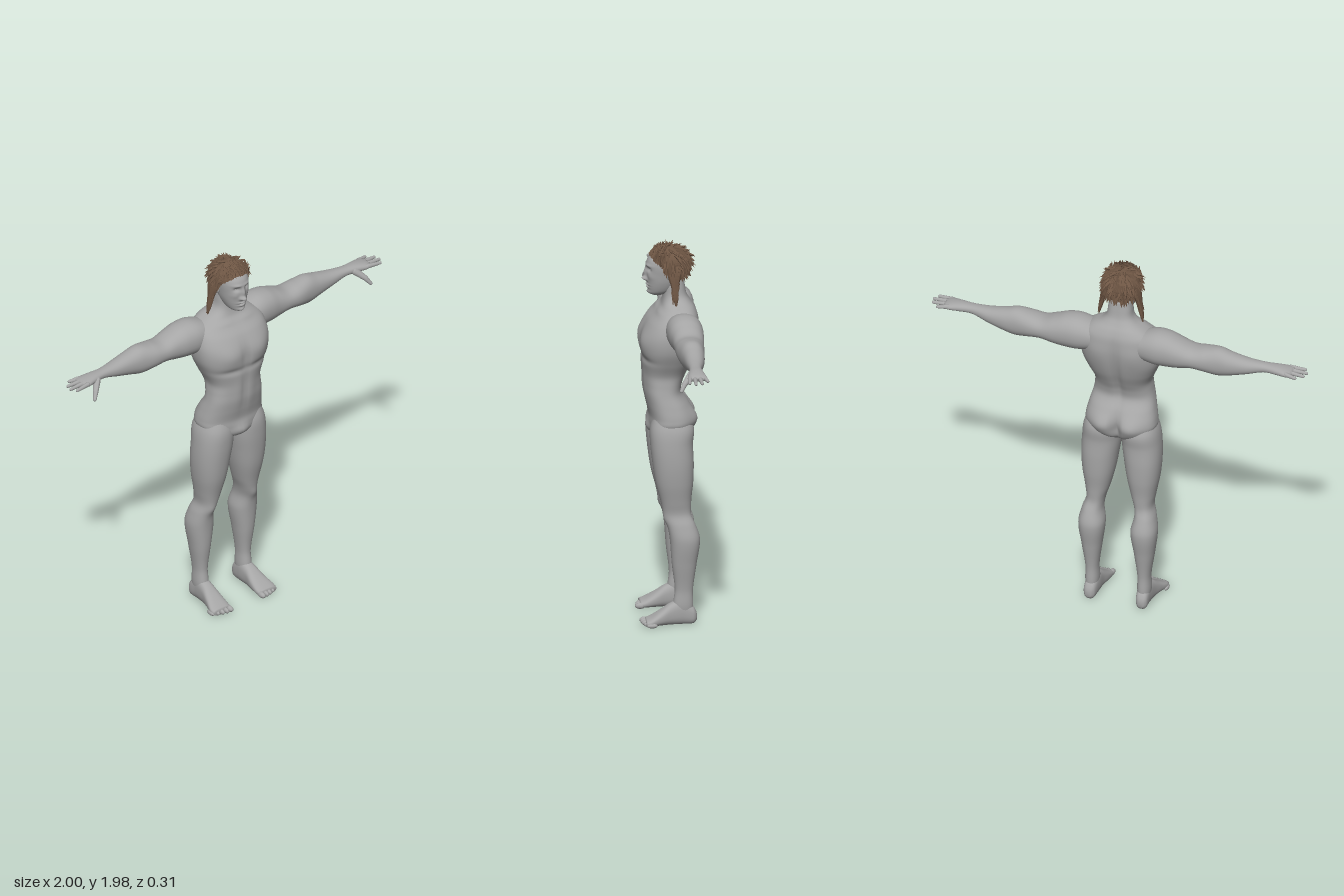
import * as THREE from 'three';
import { mergeGeometries } from 'three/addons/utils/BufferGeometryUtils.js';

const skin = new THREE.MeshStandardMaterial({ color: 0xa6a6a6 });
skin.name = 'grey skin';
const brown = new THREE.MeshStandardMaterial({ color: 0x6e5644, side: THREE.DoubleSide });
brown.name = 'brown hair';

// Smooth interpolation of cross-sections [t, aMin, aMax, bMin, bMax]
function sample(s, t) {
  let i = 0;
  while (i < s.length - 2 && t > s[i + 1][0]) i++;
  const h = s[i + 1][0] - s[i][0], u = (t - s[i][0]) / h;
  const slope = (k, c) => {
    const p = s[Math.max(k - 1, 0)], q = s[Math.min(k + 1, s.length - 1)];
    return (q[c] - p[c]) / (q[0] - p[0]);
  };
  return [1, 2, 3, 4].map(c => {
    const p = s[i][c], q = s[i + 1][c], u2 = u * u, u3 = u2 * u;
    return p * (2 * u3 - 3 * u2 + 1) + q * (3 * u2 - 2 * u3)
      + h * (slope(i, c) * (u3 - 2 * u2 + u) + slope(i + 1, c) * (u3 - u2));
  });
}

// Closed loft along axis 0, 1 or 2; a and b are the next two axes in order.
// bumps: [x, y, side, rx, ry, amount] push the front (+1) or back (-1) in z
function loft(axis, sections, { segs = 32, rings = 48, pow = 0.9, bumps = [] } = {}) {
  const pos = [], idx = [], t0 = sections[0][0], t1 = sections.at(-1)[0];
  const put = (t, a, b, c = 0) => {
    const p = [];
    p[axis] = t; p[(axis + 1) % 3] = a; p[(axis + 2) % 3] = b;
    for (const [x, y, side, rx, ry, amt] of bumps) {
      const k = Math.min(1, 2 * Math.max(0, side * c));
      p[2] += side * amt * k * Math.exp(-(((Math.abs(p[0]) - x) / rx) ** 2) - ((p[1] - y) / ry) ** 2);
    }
    pos.push(...p);
  };
  const sp = v => Math.sign(v) * Math.abs(v) ** pow;
  for (let i = 0; i <= rings; i++) {
    const t = t0 + (t1 - t0) * i / rings, [a0, a1, b0, b1] = sample(sections, t);
    for (let j = 0; j < segs; j++) {
      const w = j / segs * Math.PI * 2, c = Math.cos(w);
      put(t, (a0 + a1) / 2 + (a1 - a0) / 2 * sp(c), (b0 + b1) / 2 + (b1 - b0) / 2 * sp(Math.sin(w)), c);
      if (i < rings) {
        const p = i * segs + j, q = i * segs + (j + 1) % segs;
        idx.push(p, q, p + segs, q, q + segs, p + segs);
      }
    }
  }
  for (const [t, i, s] of [[t0, 0, sections[0]], [t1, rings, sections.at(-1)]]) {
    const mid = pos.length / 3;
    put(t, (s[1] + s[2]) / 2, (s[3] + s[4]) / 2);
    for (let j = 0; j < segs; j++) {
      const p = i * segs + j, q = i * segs + (j + 1) % segs;
      idx.push(mid, ...(i ? [p, q] : [q, p]));
    }
  }
  const g = new THREE.BufferGeometry();
  g.setAttribute('position', new THREE.Float32BufferAttribute(pos, 3));
  g.setIndex(idx);
  g.computeVertexNormals();
  return g;
}

const ball = (x, y, z, rx, ry, rz) => new THREE.SphereGeometry(1, 16, 12).scale(rx, ry, rz).translate(x, y, z);

// Rounded finger segment between two points, tapering towards the tip
function digit(from, to, r0, r1) {
  const a = new THREE.Vector3(...from), b = new THREE.Vector3(...to), d = b.clone().sub(a), len = d.length();
  const g = new THREE.CapsuleGeometry(1, len, 5, 12, 4), p = g.attributes.position;
  for (let i = 0; i < p.count; i++) {
    const y = p.getY(i), r = THREE.MathUtils.lerp(r0, r1, THREE.MathUtils.clamp(y / len + 0.5, 0, 1));
    const end = THREE.MathUtils.clamp(y, -len / 2, len / 2);
    p.setXYZ(i, p.getX(i) * r, end + (y - end) * r, p.getZ(i) * r);
  }
  g.computeVertexNormals();
  return g.applyQuaternion(new THREE.Quaternion().setFromUnitVectors(new THREE.Vector3(0, 1, 0), d.normalize()))
    .translate(...a.add(b).multiplyScalar(0.5).toArray());
}

function mirrored(geo) {
  const g = geo.clone().scale(-1, 1, 1), ix = g.index;
  if (ix) for (let i = 0; i < ix.count; i += 3) {
    const k = ix.getX(i);
    ix.setX(i, ix.getX(i + 1)); ix.setX(i + 1, k);
  }
  g.computeVertexNormals();
  return g;
}

// Faceted hair: a cap with a shaped hairline, covered in small tufts
function hairGeometry() {
  let seed = 7;
  const rnd = () => (seed = (seed * 16807) % 2147483647) / 2147483647;
  const limit = f => THREE.MathUtils.lerp(1.17, 2.45, THREE.MathUtils.smoothstep(Math.abs(f), 0.3, 2.2));
  const point = (f, th, k = 1) => {
    const s = (th > 1.57 ? Math.max(Math.sin(th), 0.86) : Math.sin(th)) * k;
    return new THREE.Vector3(0.094 * s * Math.sin(f), 1.88 + 0.083 * Math.cos(th) * k, -0.005 + 0.107 * s * Math.cos(f));
  };
  const cap = new THREE.SphereGeometry(1, 40, 16), p = cap.attributes.position, uv = cap.attributes.uv;
  for (let i = 0; i < p.count; i++) {
    const col = i % 41, f = (col / 40) * Math.PI * 2 - Math.PI, row = Math.floor(i / 41) / 16;
    const v = point(f, row * limit(f), 1 + 0.025 * Math.sin(col * Math.PI / 2 * 1.0) * row);
    p.setXYZ(i, v.x, v.y, v.z);
  }
  const parts = [cap], up = new THREE.Vector3(0, 1, 0);
  const tuft = (at, dir, r, len) => parts.push(new THREE.ConeGeometry(r, len, 4).translate(0, len * 0.4, 0)
    .applyQuaternion(new THREE.Quaternion().setFromUnitVectors(up, dir.normalize())).translate(at.x, at.y, at.z));
  for (let i = 0; i < 420; i++) {
    const f = (rnd() * 2 - 1) * Math.PI, th = limit(f) * Math.sqrt(rnd()) * 0.95;
    const at = point(f, th, 0.99), out = at.clone().sub(new THREE.Vector3(0, 1.88, -0.005)).normalize();
    const along = point(f, th + 0.05).sub(at).normalize();
    if (Math.cos(f) > 0.3) along.negate();
    along.x += (rnd() - 0.5) * 0.6;
    tuft(at, along.addScaledVector(out, 0.3 + 0.25 * rnd()), 0.007 + 0.005 * rnd(), 0.03 + 0.02 * rnd());
  }
  // Long locks hanging in front of the shoulders
  const lock = loft(1, [[1.68, -0.034, -0.026, 0.115, 0.12], [1.72, -0.042, -0.014, 0.101, 0.121],
    [1.78, -0.045, -0.005, 0.084, 0.113], [1.84, -0.06, 0.012, 0.07, 0.103], [1.9, -0.05, 0.01, 0.06, 0.085]],
  { segs: 8, rings: 14 });
  parts.push(lock, mirrored(lock));
  for (let i = 0; i < 60; i++) {
    const s = i % 2 ? 1 : -1, u = rnd();
    tuft(new THREE.Vector3(s * THREE.MathUtils.lerp(0.09, 0.112, u), 1.85 - 0.13 * u, -0.025 + (rnd() - 0.5) * 0.05 * (1 - u * 0.6)),
      new THREE.Vector3(s * (0.2 + rnd() * 0.15), -1, (rnd() - 0.5) * 0.3), 0.008, 0.045);
  }
  const g = mergeGeometries(parts.map(q => {
    const n = q.index ? q.toNonIndexed() : q;
    n.deleteAttribute('uv');
    return n;
  }));
  g.computeVertexNormals();
  return g;
}

export function createModel() {
  const model = new THREE.Group();
  model.name = 'figure';
  const add = (name, geo, mat = skin) => {
    const m = new THREE.Mesh(geo, mat);
    m.name = name;
    model.add(m);
  };
  const pair = (name, geo) => { add('left' + name, geo); add('right' + name, mirrored(geo)); };

  // Torso and neck: [y, back, front, half width]
  const torso = [[0.965, -0.06, 0.06, 0.03], [1.0, -0.105, 0.095, 0.13], [1.05, -0.12, 0.1, 0.182], [1.09, -0.12, 0.1, 0.184],
    [1.15, -0.098, 0.112, 0.172], [1.21, -0.065, 0.122, 0.158], [1.26, -0.07, 0.125, 0.15], [1.31, -0.09, 0.128, 0.149],
    [1.38, -0.12, 0.135, 0.178], [1.45, -0.14, 0.138, 0.205], [1.52, -0.15, 0.132, 0.213], [1.58, -0.15, 0.105, 0.205],
    [1.62, -0.145, 0.07, 0.188], [1.655, -0.13, 0.04, 0.142], [1.68, -0.112, 0.03, 0.095], [1.71, -0.095, 0.025, 0.07],
    [1.76, -0.085, 0.025, 0.062], [1.8, -0.08, 0.03, 0.058]];
  add('torso', loft(1, torso.map(([y, b, f, w]) => [y, b, f, -w, w]), {
    segs: 72, rings: 110, pow: 0.8,
    bumps: [[0.09, 1.48, 1, 0.07, 0.06, 0.014], [0, 1.47, 1, 0.018, 0.08, -0.008], [0.08, 1.395, 1, 0.08, 0.018, -0.008],
      [0.04, 1.26, 1, 0.03, 0.1, 0.005], [0, 1.27, 1, 0.012, 0.12, -0.005], [0, 1.02, 1, 0.04, 0.035, 0.016],
      [0.08, 1.07, -1, 0.06, 0.06, 0.024], [0, 1.05, -1, 0.018, 0.07, -0.035], [0, 1.38, -1, 0.022, 0.2, -0.02],
      [0.1, 1.52, -1, 0.06, 0.07, 0.006], [0.07, 1.64, 1, 0.06, 0.012, 0.006]]
  }));

  // Head with a sculpted face
  const head = [[1.708, 0.03, 0.075, 0.018], [1.72, 0.0, 0.094, 0.036], [1.74, -0.03, 0.1, 0.05], [1.78, -0.06, 0.105, 0.064],
    [1.82, -0.08, 0.108, 0.071], [1.87, -0.092, 0.11, 0.076], [1.905, -0.09, 0.098, 0.072], [1.935, -0.07, 0.068, 0.052], [1.953, -0.02, 0.02, 0.015]];
  add('head', loft(1, head.map(([y, b, f, w]) => [y, b, f, -w, w]), {
    segs: 112, rings: 110, pow: 0.9,
    bumps: [[0, 1.825, 1, 0.011, 0.03, 0.014], [0, 1.797, 1, 0.014, 0.011, 0.02], [0.012, 1.793, 1, 0.008, 0.008, 0.008],
      [0.03, 1.85, 1, 0.016, 0.012, -0.013], [0.03, 1.872, 1, 0.025, 0.008, 0.005], [0.045, 1.815, 1, 0.018, 0.018, 0.004],
      [0, 1.768, 1, 0.022, 0.005, 0.008], [0, 1.76, 1, 0.022, 0.003, -0.004], [0, 1.752, 1, 0.018, 0.006, 0.008],
      [0, 1.725, 1, 0.02, 0.012, 0.009]]
  }));
  pair('Eye', ball(0.03, 1.85, 0.082, 0.013, 0.008, 0.011));
  pair('Ear', ball(0.075, 1.83, -0.005, 0.01, 0.03, 0.018));

  // Arms: [x, bottom, top, back, front]
  pair('Arm', loft(0, [[0.1, 1.5, 1.635, -0.13, 0.02], [0.2, 1.484, 1.666, -0.152, 0.03], [0.27, 1.485, 1.664, -0.152, 0.025],
    [0.33, 1.492, 1.645, -0.148, 0.015], [0.4, 1.505, 1.622, -0.14, 0.01], [0.47, 1.496, 1.63, -0.135, 0.008],
    [0.54, 1.487, 1.638, -0.127, -0.003], [0.6, 1.5, 1.624, -0.122, -0.012], [0.69, 1.525, 1.606, -0.107, -0.02],
    [0.78, 1.55, 1.598, -0.087, -0.025], [0.85, 1.551, 1.597, -0.093, -0.014], [0.9, 1.554, 1.591, -0.1, -0.004],
    [0.925, 1.562, 1.584, -0.096, -0.008]], { rings: 90 }));
  const fingers = [[-0.016, -0.006, 0.975], [-0.039, -0.036, 0.992], [-0.063, -0.068, 0.986], [-0.087, -0.099, 0.952]];
  pair('Fingers', mergeGeometries([
    ...fingers.map(([z0, z1, tip]) => digit([0.9, 1.575, z0], [tip, 1.571, z1], 0.0125, 0.008)),
    digit([0.83, 1.568, -0.03], [0.868, 1.53, 0.008], 0.02, 0.014),
    digit([0.868, 1.53, 0.008], [0.888, 1.5, 0.026], 0.014, 0.009)]));

  // Legs: [y, back, front, inner, outer]
  pair('Leg', loft(1, [[0.04, -0.11, -0.02, 0.112, 0.165], [0.1, -0.113, -0.012, 0.104, 0.173], [0.185, -0.112, -0.02, 0.105, 0.172],
    [0.32, -0.13, -0.005, 0.088, 0.191], [0.45, -0.147, 0.005, 0.072, 0.206], [0.53, -0.125, 0.018, 0.086, 0.192],
    [0.585, -0.108, 0.036, 0.08, 0.175], [0.65, -0.105, 0.05, 0.06, 0.183], [0.75, -0.115, 0.075, 0.036, 0.2],
    [0.85, -0.118, 0.09, 0.02, 0.208], [0.95, -0.115, 0.1, 0.006, 0.205], [1.03, -0.12, 0.1, 0.005, 0.194],
    [1.1, -0.09, 0.08, 0.03, 0.165]],
  { segs: 40, rings: 90, bumps: [[0.135, 0.555, 1, 0.025, 0.03, 0.008], [0.13, 0.57, -1, 0.03, 0.04, -0.006]] }));

  // Feet: [z, inner, outer, bottom, top], with five toes
  pair('Foot', loft(2, [[-0.13, 0.125, 0.155, 0.02, 0.06], [-0.115, 0.11, 0.168, 0.003, 0.09], [-0.06, 0.102, 0.172, 0, 0.13],
    [0, 0.1, 0.178, 0, 0.112], [0.05, 0.093, 0.19, 0, 0.078], [0.1, 0.09, 0.204, 0, 0.046], [0.128, 0.094, 0.2, 0.002, 0.034]],
  { pow: 0.8 }));
  pair('Toes', mergeGeometries([0, 1, 2, 3, 4].map(i =>
    ball(0.105 + i * 0.0235 - (i ? 0 : 0.001), 0.016 - i * 0.0008, 0.128 - i * i * 0.0018, i ? 0.0115 : 0.015, 0.016 - i * 0.001, 0.027))));

  add('hair', hairGeometry(), brown);
  return model;
}
